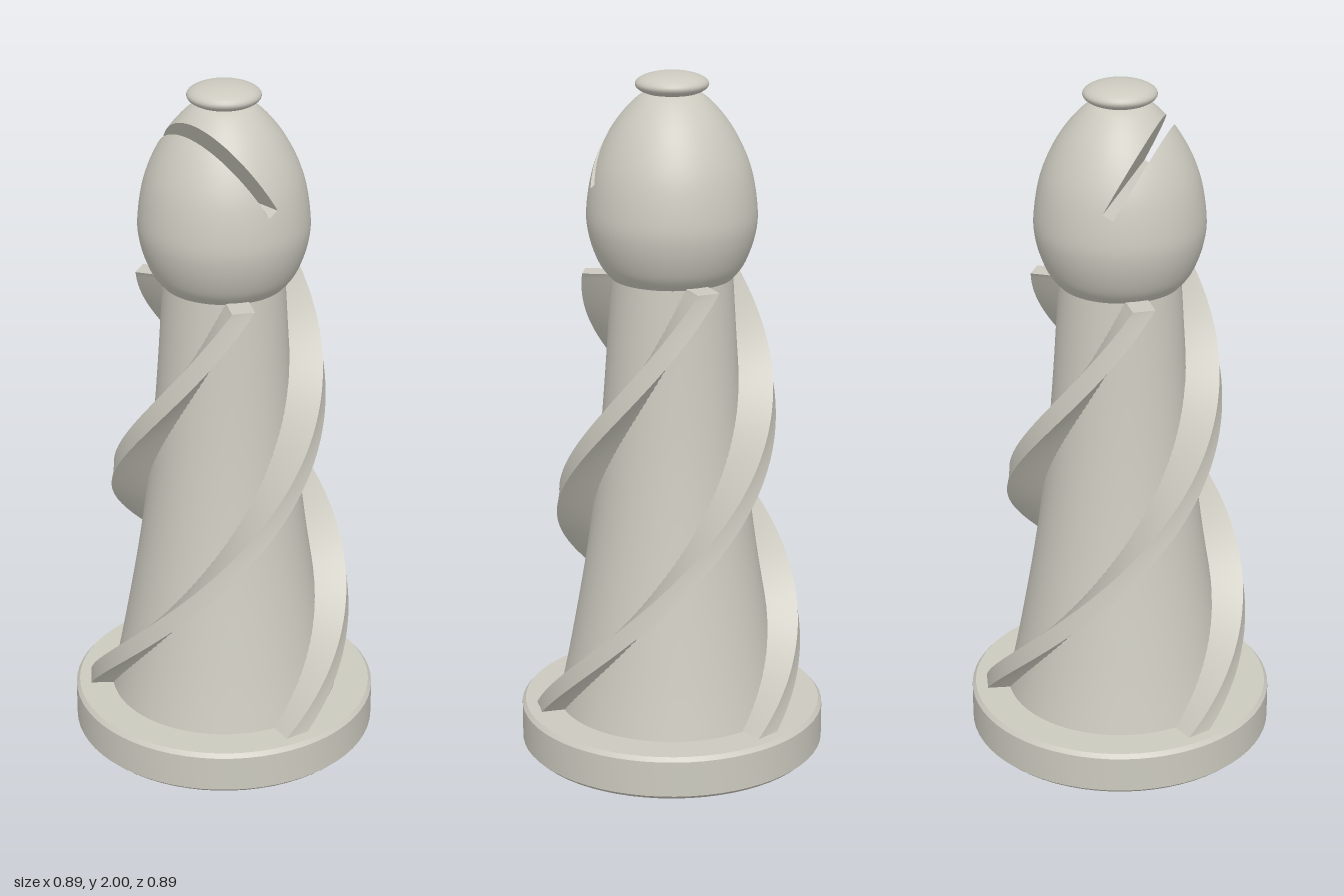
import * as THREE from 'three';
import { toCreasedNormals } from 'three/addons/utils/BufferGeometryUtils.js';

const V2 = (x, y) => new THREE.Vector2(x, y);
const spline = (pts, n) => new THREE.SplineCurve(pts.map(p => V2(...p))).getPoints(n);

const stone = new THREE.MeshStandardMaterial({ color: 0xcccabf });
stone.name = 'stone';
const slotStone = stone.clone(); // same colour, open inner faces
slotStone.side = THREE.DoubleSide;

function add(group, name, geometry, material = stone) {
  const mesh = new THREE.Mesh(geometry, material);
  mesh.name = name;
  group.add(mesh);
  return mesh;
}

function fromTriangles(pos) {
  const g = new THREE.BufferGeometry();
  g.setAttribute('position', new THREE.Float32BufferAttribute(pos, 3));
  return g;
}

// Egg-shaped head profile
const headProfile = spline([[0.165, 1.41], [0.205, 1.46], [0.234, 1.54], [0.24, 1.62],
  [0.218, 1.74], [0.165, 1.85], [0.095, 1.93], [0.04, 1.95], [0, 1.955]], 56);
headProfile[headProfile.length - 1].x = 0;

function headRadius(y) {
  for (let i = 1; i < headProfile.length; i++) {
    const a = headProfile[i - 1], b = headProfile[i];
    if (y <= b.y) return a.x + (b.x - a.x) * (y - a.y) / (b.y - a.y);
  }
  return 0;
}

// Slanted slot, cut right through along z
const slot = { floor: V2(-0.027, 1.69), up: V2(-0.46, 0.888).normalize(), half: 0.017 };
slot.across = V2(slot.up.y, -slot.up.x);
const slotPoint = (d, t) => slot.floor.clone().addScaledVector(slot.across, d).addScaledVector(slot.up, t);
const acrossOf = v => (v[0] - slot.floor.x) * slot.across.x + (v[1] - slot.floor.y) * slot.across.y;
const upOf = v => (v[0] - slot.floor.x) * slot.up.x + (v[1] - slot.floor.y) * slot.up.y;

// Keep the part of a polygon where side(v) >= 0
function clip(poly, side) {
  const out = [];
  poly.forEach((a, i) => {
    const b = poly[(i + 1) % poly.length], sa = side(a), sb = side(b);
    if (sa >= 0) out.push(a);
    if (sa * sb < 0) out.push(a.map((v, k) => v + (b[k] - v) * sa / (sa - sb)));
  });
  return out;
}

function slottedHead() {
  const lathe = new THREE.LatheGeometry(headProfile, 64).toNonIndexed();
  const P = lathe.attributes.position, N = lathe.attributes.normal;
  const pos = [], nor = [], h = slot.half;
  const regions = [
    [v => acrossOf(v) - h],
    [v => -h - acrossOf(v)],
    [v => h - acrossOf(v), v => acrossOf(v) + h, v => -upOf(v)],
  ];
  for (let i = 0; i < P.count; i += 3) {
    const tri = [0, 1, 2].map(k => [P.getX(i + k), P.getY(i + k), P.getZ(i + k),
      N.getX(i + k), N.getY(i + k), N.getZ(i + k)]);
    for (const planes of regions) {
      const poly = planes.reduce(clip, tri);
      for (let k = 2; k < poly.length; k++)
        for (const v of [poly[0], poly[k - 1], poly[k]]) {
          pos.push(v[0], v[1], v[2]);
          nor.push(v[3], v[4], v[5]);
        }
    }
  }
  const g = fromTriangles(pos);
  g.setAttribute('normal', new THREE.Float32BufferAttribute(nor, 3));
  return g;
}

// Two walls and the floor of the slot, in strips along z
function slotFaces() {
  const pos = [], steps = 40;
  const strip = (pairs) => {
    for (let i = 1; i < pairs.length; i++) {
      const [a, b] = pairs[i - 1], [c, d] = pairs[i];
      pos.push(...a, ...b, ...c, ...c, ...b, ...d);
    }
  };
  const reach = d => {
    const p = slotPoint(d, 0);
    return Math.sqrt(headRadius(p.y) ** 2 - p.x ** 2);
  };
  const surfaceT = (d, z) => {
    let lo = 0, hi = 0.35;
    for (let k = 0; k < 30; k++) {
      const mid = (lo + hi) / 2, p = slotPoint(d, mid);
      if (Math.hypot(p.x, z) < headRadius(p.y)) lo = mid; else hi = mid;
    }
    return lo;
  };
  const at = (d, t, z) => { const p = slotPoint(d, t); return [p.x, p.y, z]; };
  const zs = Array.from({ length: steps + 1 }, (_, i) => Math.sin((i / steps - 0.5) * Math.PI));
  const h = slot.half;
  for (const d of [-h, h])
    strip(zs.map(s => {
      const z = s * reach(d);
      return [at(d, 0, z), at(d, surfaceT(d, z), z)];
    }));
  strip(zs.map(s => [at(-h, 0, s * reach(-h)), at(h, 0, s * reach(h))]));
  const g = fromTriangles(pos);
  g.computeVertexNormals();
  return g;
}

// Helical fin: a four-cornered section swept up the stem
function finGeometry(startAngle) {
  const steps = 72, y0 = 0.12, y1 = 1.425, turn = THREE.MathUtils.degToRad(222);
  const rings = [];
  for (let i = 0; i <= steps; i++) {
    const t = i / steps, a = startAngle - turn * t, y = y0 + (y1 - y0) * t;
    const outer = 0.402 - 0.15 * t, w = 0.037 - 0.005 * t;
    rings.push([[0.1, -w], [outer, -w], [outer, w], [0.1, w]].map(([r, s]) =>
      [r * Math.cos(a) - s * Math.sin(a), y, r * Math.sin(a) + s * Math.cos(a)]));
  }
  const pos = [];
  for (let i = 0; i < steps; i++)
    for (let j = 0; j < 4; j++) {
      const k = (j + 1) % 4, lo = rings[i], up = rings[i + 1];
      pos.push(...lo[j], ...up[j], ...lo[k], ...lo[k], ...up[j], ...up[k]);
    }
  const b = rings[0], t = rings[steps];
  pos.push(...t[0], ...t[3], ...t[2], ...t[0], ...t[2], ...t[1]);
  pos.push(...b[0], ...b[2], ...b[3], ...b[0], ...b[1], ...b[2]);
  return toCreasedNormals(fromTriangles(pos), 0.7);
}

export function createModel() {
  const model = new THREE.Group();
  model.name = 'chessPiece';

  // Round foot with softened rims
  const foot = [[0, 0], [0.432, 0], [0.445, 0.012], [0.445, 0.118], [0.435, 0.13], [0, 0.13]];
  add(model, 'base', toCreasedNormals(new THREE.LatheGeometry(foot.map(p => V2(...p)), 64), 0.5));

  // Tapering stem
  const stem = spline([[0.337, 0.12], [0.3, 0.3], [0.248, 0.6], [0.213, 0.88],
    [0.19, 1.15], [0.172, 1.44]], 24);
  add(model, 'stem', new THREE.LatheGeometry(stem, 64));

  // Three fins winding round the stem
  const fins = new THREE.Group();
  fins.name = 'spiralFins';
  for (let i = 0; i < 3; i++)
    add(fins, 'spiralFin', finGeometry(THREE.MathUtils.degToRad(102 + i * 120)));
  model.add(fins);

  // Head with its slot
  add(model, 'head', slottedHead());
  add(model, 'slot', slotFaces(), slotStone);
  const under = add(model, 'headUnderside', new THREE.CircleGeometry(0.165, 48));
  under.rotation.x = Math.PI / 2;
  under.position.y = 1.41;

  // Flattened knob on top
  const knob = add(model, 'knob', new THREE.SphereGeometry(0.103, 40, 20));
  knob.scale.y = 0.33;
  knob.position.y = 1.966;

  return model;
}
